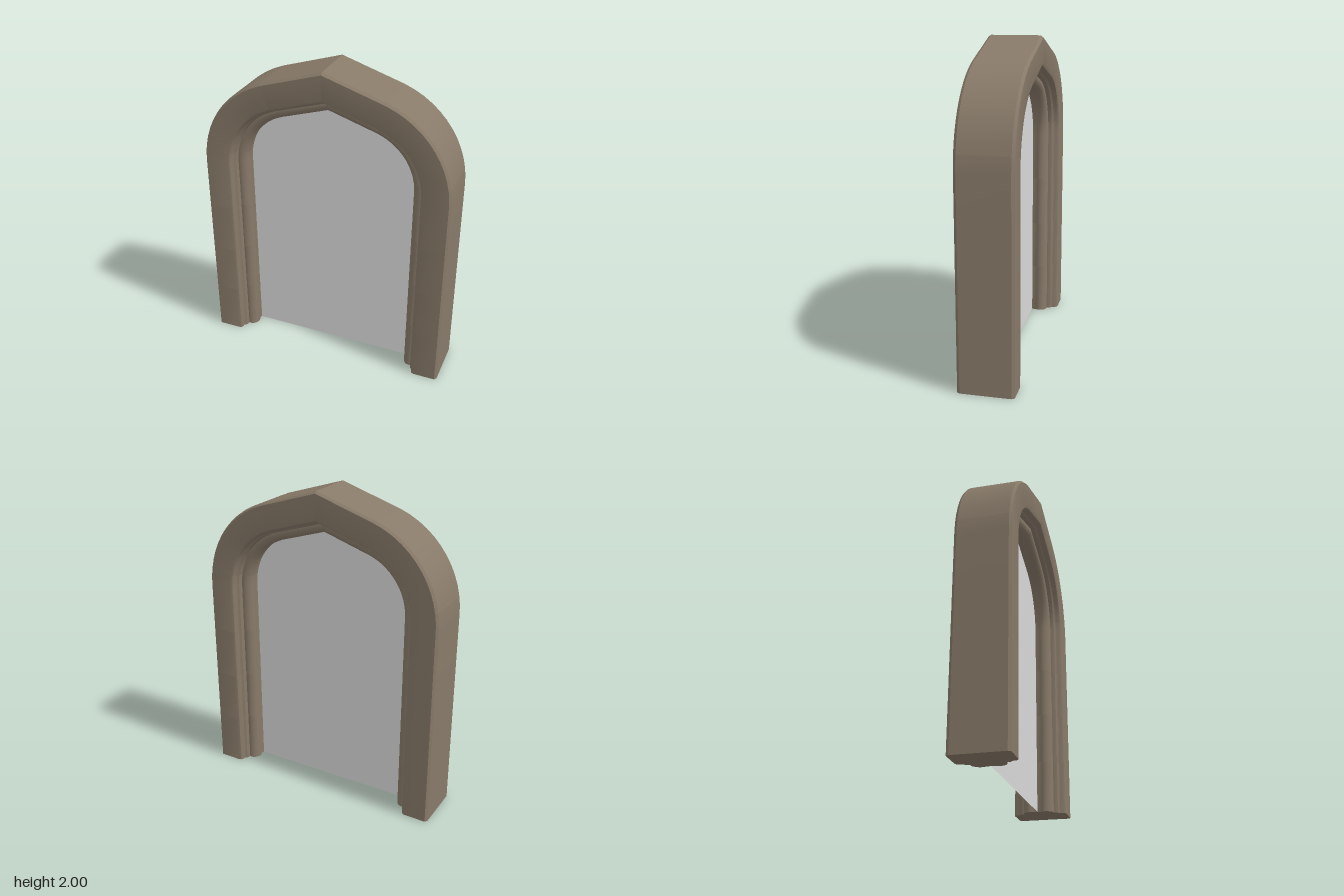
import * as THREE from 'three';
import { toCreasedNormals } from 'three/addons/utils/BufferGeometryUtils.js';

const R = 0.61, CX = 0.19, CY = 1.303;      // outer shoulder radius and its centre
const JOINT_LOW = 0.17, JOINT_HIGH = 1.23, TANGENT = 1.265; // angles along the shoulder

// Front half of the moulding: [inset from outer edge, z]
const half = [
  [0, 0.155], [0.012, 0.172], [0.155, 0.172], [0.169, 0.166], [0.177, 0.152], [0.178, 0.138],
  [0.184, 0.13], [0.192, 0.124], [0.196, 0.112], [0.197, 0.098], [0.208, 0.1], [0.226, 0.096],
  [0.242, 0.084], [0.252, 0.067], [0.255, 0.05], [0.251, 0.034], [0.246, 0.025],
];
const profile = [...half, ...half.map(([d, z]) => [d, -z]).reverse()];

// A station is a base point and a direction in which the section extends
const legAt = (y) => ({ x: CX, y, nx: 1, ny: 0 });
const arcAt = (a) => ({ x: CX, y: CY, nx: Math.cos(a), ny: Math.sin(a) });
const apex = { x: 0, y: CY + CX / Math.tan(TANGENT), nx: 0, ny: 1 / Math.sin(TANGENT) };
const arc = (a, b, n) => Array.from({ length: n + 1 }, (_, i) => arcAt(a + (b - a) * i / n));
const place = (s, d) => [s.x + s.nx * (R - d), s.y + s.ny * (R - d)];

const blocks = [
  ['lowerJamb', [legAt(0), legAt(0.33)]],
  ['middleJamb', [legAt(0.33), legAt(0.655)]],
  ['upperJamb', [legAt(0.655), legAt(0.982)]],
  ['springer', [legAt(0.982), ...arc(0, JOINT_LOW, 2)]],
  ['shoulder', arc(JOINT_LOW, JOINT_HIGH, 10)],
  ['crown', [arcAt(JOINT_HIGH), arcAt(TANGENT), apex]],
];

// Sweep the closed moulding section through the stations
function sweep(stations) {
  const pos = [], idx = [], n = profile.length;
  stations.forEach((s, i) => {
    profile.forEach(([d, z], j) => {
      const [x, y] = place(s, d);
      pos.push(x, y, z);
      if (i === 0) return;
      const k = (j + 1) % n;
      const a = (i - 1) * n + j, b = (i - 1) * n + k, c = i * n + j, e = i * n + k;
      idx.push(a, c, b, b, c, e);
    });
  });
  const g = new THREE.BufferGeometry();
  g.setAttribute('position', new THREE.Float32BufferAttribute(pos, 3));
  g.setIndex(idx);
  return toCreasedNormals(g, 0.6);
}

export function createModel() {
  const stone = new THREE.MeshStandardMaterial({ color: 0x887a69 });
  stone.name = 'stone';
  const pane = new THREE.MeshStandardMaterial({ color: 0xd8d8d8, side: THREE.DoubleSide });
  pane.name = 'pane';

  const model = new THREE.Group();
  model.name = 'archway';
  const add = (parent, name, geometry, material) => {
    const mesh = new THREE.Mesh(geometry, material);
    mesh.name = name;
    parent.add(mesh);
  };

  for (const [sideName, sign] of [['left', 1], ['right', -1]]) {
    const side = new THREE.Group();
    side.name = sideName + 'Side';
    model.add(side);

    // Stone blocks; mirrored stations run backwards to keep faces outward
    for (const [name, stations] of blocks) {
      const path = sign > 0 ? stations
        : stations.map((s) => ({ ...s, x: -s.x, nx: -s.nx })).reverse();
      add(side, name, sweep(path), stone);
    }

    // Underside of the jamb
    const foot = new THREE.Shape(profile.map(([d, z]) => new THREE.Vector2(sign * (CX + R - d), z)));
    add(side, 'foot', new THREE.ShapeGeometry(foot).rotateX(Math.PI / 2), stone);
  }

  // Flat panel filling the opening, running just into the stone
  const edge = [legAt(0), ...arc(0, TANGENT, 12), apex].map((s) => place(s, 0.249));
  const outline = [...edge, ...edge.slice(0, -1).reverse().map(([x, y]) => [-x, y])];
  const panel = new THREE.Shape(outline.map(([x, y]) => new THREE.Vector2(x, y)));
  add(model, 'panel', new THREE.ShapeGeometry(panel), pane);

  return model;
}
